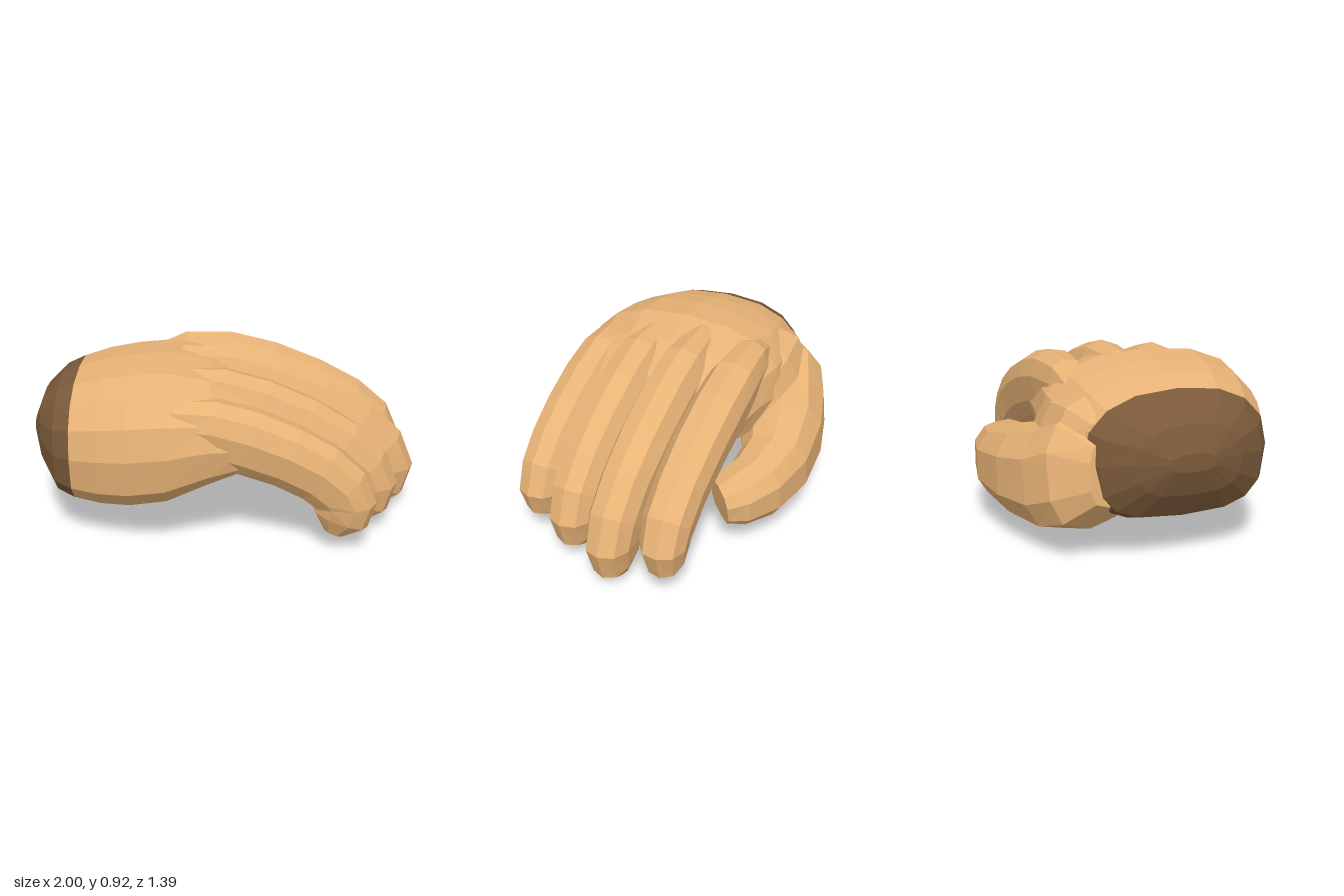
import * as THREE from 'three';

// Closed faceted loft; each section is [x, y, z, halfWidth, halfHeight].
// The powers set how boxy the upper and lower halves are, roll turns the sections.
function loft(sections, { sides = 10, power = 0.85, below = power, straight = false, roll = 0 } = {}) {
  const pos = [], idx = [], n = sections.length;
  const centres = sections.map(s => new THREE.Vector3(s[0], s[1], s[2]));
  const bend = (v, p) => Math.abs(v) < 1e-6 ? 0 : Math.sign(v) * Math.pow(Math.abs(v), p);
  sections.forEach((s, i) => {
    const t = straight ? new THREE.Vector3(1, 0, 0)
      : centres[Math.min(i + 1, n - 1)].clone().sub(centres[Math.max(i - 1, 0)]).normalize();
    const side = new THREE.Vector3(0, 0, 1).addScaledVector(t, -t.z).normalize().applyAxisAngle(t, roll);
    const up = side.clone().cross(t);
    for (let j = 0; j < sides; j++) {
      const a = j / sides * Math.PI * 2;
      const q = Math.cos(a) < 0 ? below : power;
      const p = centres[i].clone()
        .addScaledVector(side, bend(Math.sin(a), q) * s[3])
        .addScaledVector(up, bend(Math.cos(a), q) * s[4]);
      pos.push(p.x, p.y, p.z);
    }
  });
  for (let i = 0; i < n - 1; i++) {
    for (let j = 0; j < sides; j++) {
      const a = i * sides + j, b = i * sides + (j + 1) % sides;
      idx.push(a, b, a + sides, b, b + sides, a + sides);
    }
  }
  // End caps
  const last = (n - 1) * sides;
  for (let j = 1; j < sides - 1; j++) {
    idx.push(0, j + 1, j, last, last + j, last + j + 1);
  }
  const indexed = new THREE.BufferGeometry();
  indexed.setAttribute('position', new THREE.Float32BufferAttribute(pos, 3));
  indexed.setIndex(idx);
  const g = indexed.toNonIndexed();
  g.computeVertexNormals();
  return g;
}

export function createModel() {
  const group = new THREE.Group();
  const skin = new THREE.MeshStandardMaterial({ color: 0xe9b477 });
  skin.name = 'skin';
  const cuff = new THREE.MeshStandardMaterial({ color: 0x7b5a3a });
  cuff.name = 'dark wrist';
  const add = (name, geometry, material) => {
    const mesh = new THREE.Mesh(geometry, material);
    mesh.name = name;
    group.add(mesh);
  };

  // Palm and wrist: [x, top, bottom, back z, front z]
  const body = [
    [-1, 0.57, 0.48, -0.02, 0.21],
    [-0.95, 0.7, 0.35, -0.17, 0.37],
    [-0.86, 0.785, 0.22, -0.32, 0.52],
    [-0.77, 0.825, 0.19, -0.37, 0.58],
    [-0.63, 0.87, 0.175, -0.41, 0.635],
    [-0.48, 0.9, 0.18, -0.43, 0.675],
    [-0.29, 0.918, 0.22, -0.44, 0.7],
    [-0.08, 0.87, 0.32, -0.4, 0.665],
    [0.12, 0.77, 0.41, -0.37, 0.63],
    [0.25, 0.68, 0.42, -0.35, 0.6],
    [0.34, 0.58, 0.45, -0.3, 0.54]
  ].map(([x, t, b, z0, z1]) => [x, (t + b) / 2, (z0 + z1) / 2, (z1 - z0) / 2, (t - b) / 2]);
  const box = { sides: 16, power: 0.84, below: 0.66, straight: true };
  add('wrist', loft(body.slice(0, 4), box), cuff);
  add('palm', loft(body.slice(3), box), skin);

  // Curled finger: [x, y, half width, half thickness]
  const curl = [
    [-0.4, 0.69, 0.07, 0.13],
    [-0.22, 0.73, 0.11, 0.18],
    [0, 0.72, 0.135, 0.19],
    [0.22, 0.66, 0.14, 0.19],
    [0.46, 0.565, 0.138, 0.18],
    [0.66, 0.45, 0.132, 0.175],
    [0.79, 0.33, 0.128, 0.17],
    [0.83, 0.235, 0.12, 0.17],
    [0.8, 0.125, 0.1, 0.16],
    [0.765, 0.015, 0.05, 0.06]
  ];
  // [name, z, length scale, height scale, lift, thickness scale, roll]
  [
    ['indexFinger', -0.258, 0.965, 0.86, 0.085, 0.96, -0.16],
    ['middleFinger', 0.008, 1, 1, 0, 1, 0],
    ['ringFinger', 0.27, 0.91, 0.92, 0.04, 0.96, 0.08],
    ['littleFinger', 0.517, 0.81, 0.77, 0.09, 0.92, 0.16]
  ].forEach(([name, z, length, height, lift, thick, roll]) => {
    const path = curl.map(([x, y, w, h]) =>
      [-0.35 + (x + 0.35) * length, lift + y * height, z, w, h * thick]);
    add(name, loft(path, { roll }), skin);
  });

  // Thumb with its broad heel, sweeping from the wrist under the index finger
  add('thumb', loft([
    [-0.83, 0.46, -0.27, 0.1, 0.16],
    [-0.66, 0.43, -0.32, 0.22, 0.28],
    [-0.48, 0.36, -0.37, 0.25, 0.27],
    [-0.25, 0.335, -0.46, 0.225, 0.235],
    [0, 0.31, -0.515, 0.185, 0.19],
    [0.2, 0.3, -0.49, 0.165, 0.16],
    [0.33, 0.295, -0.425, 0.15, 0.135],
    [0.385, 0.285, -0.37, 0.115, 0.105]
  ], { below: 0.68 }), skin);

  // Web of skin between the thumb and the index knuckle
  add('thumbWeb', loft([
    [-0.74, 0.52, -0.26, 0.1, 0.2],
    [-0.6, 0.53, -0.3, 0.17, 0.25],
    [-0.43, 0.52, -0.32, 0.16, 0.24],
    [-0.26, 0.5, -0.32, 0.14, 0.2],
    [-0.08, 0.47, -0.28, 0.09, 0.11]
  ], { power: 0.95 }), skin);

  return group;
}
